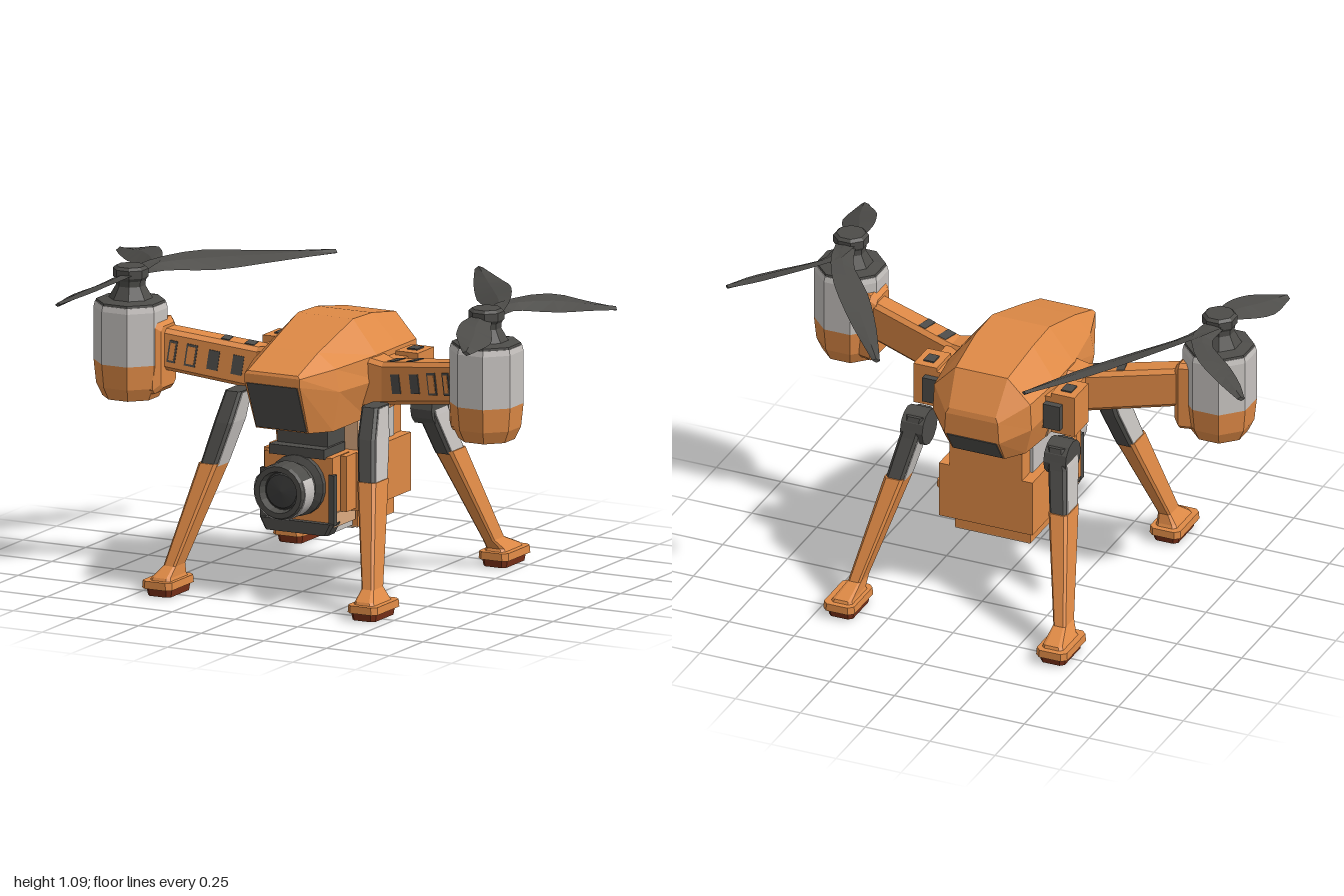
import * as THREE from 'three';

const paint = (name, color) => {
  const m = new THREE.MeshStandardMaterial({ color });
  m.name = name;
  return m;
};
const V = (x, y, z) => new THREE.Vector3(x, y, z);

// Swap two corners of every triangle
function flip(geo) {
  const p = geo.attributes.position;
  for (let i = 0; i < p.count; i += 3) {
    const a = V().fromBufferAttribute(p, i + 1), b = V().fromBufferAttribute(p, i + 2);
    p.setXYZ(i + 1, b.x, b.y, b.z);
    p.setXYZ(i + 2, a.x, a.y, a.z);
  }
  geo.computeVertexNormals();
  return geo;
}

// Faceted normals, with closed solids always facing outward
function facet(src) {
  const geo = src.index ? src.toNonIndexed() : src;
  const p = geo.attributes.position;
  let volume = 0;
  for (let i = 0; i < p.count; i += 3) {
    const [a, b, c] = [0, 1, 2].map(k => V().fromBufferAttribute(p, i + k));
    volume += a.dot(b.cross(c));
  }
  geo.computeVertexNormals();
  return volume < 0 ? flip(geo) : geo;
}

// Skin over cross-sections; the ends are closed by pairing opposite points
function loft(rings) {
  const n = rings[0].length, out = [];
  const quad = (a, b, c, d) => [a, b, c, a, c, d].forEach(v => out.push(v.x, v.y, v.z));
  for (let r = 0; r < rings.length - 1; r++)
    for (let i = 0; i < n; i++) {
      const j = (i + 1) % n;
      quad(rings[r][i], rings[r][j], rings[r + 1][j], rings[r + 1][i]);
    }
  const first = rings[0], last = rings[rings.length - 1];
  for (let i = 0; i < n / 2 - 1; i++) {
    const k = n - 1 - i;
    quad(first[i + 1], first[i], first[k], first[k - 1]);
    quad(last[i], last[i + 1], last[k - 1], last[k]);
  }
  const geo = new THREE.BufferGeometry();
  geo.setAttribute('position', new THREE.Float32BufferAttribute(out, 3));
  return facet(geo);
}

// Chamfered rectangle outline with half sizes a and b
function outline(a, b, c) {
  return [[a - c, b], [a, b - c], [a, c - b], [a - c, -b], [c - a, -b], [-a, c - b], [-a, b - c], [c - a, b]];
}
const flatRing = ([x, y, z, hx, hz]) =>
  outline(hx, hz, Math.min(hx, hz) * 0.3).map(([u, v]) => V(x + u, y, z + v));
const sideRing = ([x, y, z, hy, hz]) =>
  outline(hz, hy, 0.015).map(([u, v]) => V(x, y + v, z + u));

const box = (x0, x1, y0, y1, z0, z1) => facet(new THREE.BoxGeometry(x1 - x0, y1 - y0, z1 - z0)
  .translate((x0 + x1) / 2, (y0 + y1) / 2, (z0 + z1) / 2));
const lathe = (pts, sides) =>
  facet(new THREE.LatheGeometry(pts.map(([r, y]) => new THREE.Vector2(r, y)), sides, Math.PI / sides));

// Propeller blade: rows are x, y, z, half width, rise of one edge
function blade(rows) {
  const path = new THREE.CatmullRomCurve3(rows.map(r => V(r[0], r[1], r[2])));
  const form = new THREE.CatmullRomCurve3(rows.map(r => V(r[3], r[4], 0)));
  const rings = [];
  for (let i = 0; i <= 10; i++) {
    const c = path.getPoint(i / 10), f = form.getPoint(i / 10), t = path.getTangent(i / 10);
    const side = V(-t.z, 0, t.x).normalize().multiplyScalar(f.x).setY(f.y);
    const up = V(0, 0.008, 0);
    rings.push([c.clone().add(side), c.clone().add(up), c.clone().sub(side), c.clone().sub(up)]);
  }
  return loft(rings);
}

export function createModel() {
  const orange = paint('orange shell', 0xdf8a46), dark = paint('dark grey', 0x4d4c49);
  const grey = paint('light grey', 0xc6c2bf), rust = paint('rust rubber', 0x7a3018);
  const glass = paint('lens glass', 0x3c3c3b), tan = paint('pale tan', 0xdcab80);
  const model = new THREE.Group();
  model.name = 'drone';

  const add = (name, geo, mat) => {
    const mesh = new THREE.Mesh(geo, mat);
    mesh.name = name;
    model.add(mesh);
  };
  const pair = (name, geo, mat) => {
    add(name + 'Left', geo, mat);
    add(name + 'Right', flip(geo.clone().scale(-1, 1, 1)), mat);
  };

  // Hull: each section lists half width, y, z for top, upper side, lower side and bottom
  const sections = [
    [[0.1, 0.83, 0.47], [0.11, 0.82, 0.475], [0.11, 0.79, 0.475], [0.105, 0.61, 0.4]],
    [[0.1, 0.885, 0.32], [0.165, 0.83, 0.31], [0.18, 0.75, 0.31], [0.155, 0.605, 0.31]],
    [[0.11, 0.96, 0.08], [0.205, 0.84, 0.08], [0.21, 0.75, 0.08], [0.165, 0.61, 0.08]],
    [[0.11, 0.955, -0.06], [0.205, 0.84, -0.08], [0.21, 0.75, -0.08], [0.165, 0.61, -0.08]],
    [[0.1, 0.92, -0.255], [0.185, 0.83, -0.25], [0.19, 0.73, -0.25], [0.155, 0.615, -0.22]],
    [[0.09, 0.8, -0.335], [0.1, 0.78, -0.34], [0.105, 0.7, -0.34], [0.1, 0.61, -0.28]],
  ];
  add('hull', loft(sections.map(s => [
    ...s.map(([x, y, z]) => V(x, y, z)),
    ...[...s].reverse().map(([x, y, z]) => V(-x, y, z)),
  ])), orange);

  // Sloped dark windows at the nose and tail, pale strips low on the flanks
  const plate = (w, y0, z0, y1, z1, d) => loft([[y0, z0], [y1, z1]].map(([y, z]) =>
    [V(w, y, z), V(w, y, z + d), V(-w, y, z + d), V(-w, y, z)]));
  add('noseWindow', plate(0.1, 0.615, 0.401, 0.787, 0.473, 0.006), dark);
  add('tailWindow', plate(0.095, 0.615, -0.282, 0.698, -0.338, -0.006), dark);
  pair('flankStrip', loft([[0.166, 0.614], [0.183, 0.668]].map(([x, y]) =>
    [V(x, y, 0.08), V(x + 0.005, y, 0.08), V(x + 0.005, y, -0.08), V(x, y, -0.08)])), tan);

  // Arms with slots along the front and top; the outer slots have orange covers
  const armAt = t => V(0.25 + 0.33 * t, 0.75 + 0.05 * t, 0.08 + 0.08 * t);
  pair('arm', loft([
    [0.15, 0.745, 0.06, 0.1, 0.075], [0.25, 0.75, 0.08, 0.077, 0.05],
    [0.58, 0.8, 0.16, 0.075, 0.046], [0.62, 0.8, 0.17, 0.075, 0.046],
  ].map(sideRing)), orange);
  pair('armCollar', loft([
    [0.575, 0.775, 0.175, 0.11, 0.055], [0.595, 0.775, 0.18, 0.13, 0.075], [0.64, 0.775, 0.19, 0.13, 0.075],
  ].map(sideRing)), orange);
  const slot = (t, w, h, d, dy, dz) => {
    const c = armAt(t);
    return facet(new THREE.BoxGeometry(w, h, d).rotateZ(0.15).rotateY(-0.238)
      .translate(c.x, c.y + dy, c.z + dz));
  };
  [0.2, 0.46].forEach(t => pair('frontSlot', slot(t, 0.04, 0.07, 0.008, 0, 0.048), dark));
  [[0.7, 0.04], [0.9, 0.03]].forEach(([t, w]) => {
    pair('outerSlot', slot(t, w, 0.08, 0.008, 0, 0.047), dark);
    pair('slotCover', slot(t, w - 0.012, 0.064, 0.009, 0, 0.048), orange);
  });
  [[0.12, 0.035], [0.38, 0.03]].forEach(([t, w]) =>
    pair('topSlot', slot(t, w, 0.006, 0.06, 0.076, 0), dark));

  // Rear brackets beside the hull
  pair('rearBracket', box(0.17, 0.27, 0.69, 0.82, -0.15, 0.04), orange);
  pair('bracketPlate', box(0.22, 0.31, 0.68, 0.835, -0.15, -0.03), orange);
  pair('bracketEnd', box(0.2, 0.265, 0.705, 0.8, -0.175, -0.15), dark);
  pair('bracketTop', box(0.245, 0.285, 0.834, 0.84, -0.12, -0.07), dark);

  // Motors
  const motor = (name, pts, mat) => pair(name, lathe(pts, 8).translate(0.71, 0, 0.205), mat);
  motor('motorBase', [[0, 0.62], [0.1, 0.62], [0.122, 0.665], [0.131, 0.75], [0, 0.75]], orange);
  motor('motorCan', [[0, 0.75], [0.131, 0.75], [0.131, 0.94], [0.126, 0.96], [0, 0.96]], grey);
  motor('motorCap', [[0, 0.955], [0.125, 0.955], [0.122, 0.968], [0.078, 0.975], [0.052, 1.02],
    [0.054, 1.04], [0.063, 1.052], [0.063, 1.08], [0.052, 1.09], [0, 1.09]], dark);
  motor('motorPlug', [[0, 0.614], [0.045, 0.614], [0.045, 0.625], [0, 0.625]], dark);

  // Three-blade propellers
  pair('outerBlade', blade([[0.71, 1.06, 0.16, 0.035, -0.005], [0.715, 1.065, 0.04, 0.035, -0.012],
    [0.82, 1.06, -0.09, 0.058, -0.022], [0.91, 1.045, -0.165, 0.042, -0.01], [0.99, 1.03, -0.235, 0.015, -0.003]]), dark);
  pair('innerBlade', blade([[0.71, 1.06, 0.16, 0.035, 0.005], [0.67, 1.065, 0.04, 0.04, 0.015],
    [0.565, 1.06, -0.12, 0.06, 0.024], [0.44, 1.05, -0.3, 0.048, 0.012], [0.285, 1.04, -0.525, 0.014, 0.003]]), dark);
  pair('frontBlade', blade([[0.71, 1.06, 0.24, 0.035, 0.005], [0.735, 1.045, 0.33, 0.055, 0.015],
    [0.77, 1.03, 0.41, 0.062, 0.016], [0.815, 1.005, 0.55, 0.014, 0.003]]), dark);

  // Legs: top height, then z at the top, hip, knee, ankle and foot
  [['front', 0.69, 0.215, 0.255, 0.315, 0.465, 0.485], ['rear', 0.66, -0.18, -0.19, -0.255, -0.43, -0.485]]
    .forEach(([n, yTop, top, hip, knee, ankle, foot]) => {
      const upper = (ax, az) => loft([
        [0.272, yTop + az, top, 0.034 + ax, 0.045 + az], [0.286, 0.59, hip, 0.037 + ax, 0.058 + az],
        [0.316, 0.44, knee, 0.035 + ax, 0.052 + az],
      ].map(flatRing));
      pair(n + 'UpperLeg', upper(0, 0), grey);
      pair(n + 'LegInlay', upper(-0.002, 0.005), dark);
      pair(n + 'LowerLeg', loft([
        [0.316, 0.45, knee, 0.037, 0.058], [0.395, 0.1, ankle, 0.024, 0.042],
        [0.405, 0.065, foot, 0.036, 0.07], [0.408, 0.045, foot, 0.045, 0.08],
      ].map(flatRing)), orange);
      pair(n + 'Foot', loft([[0.41, 0.028, foot, 0.06, 0.098], [0.41, 0.055, foot, 0.058, 0.096]].map(flatRing)), orange);
      pair(n + 'FootPad', loft([[0.408, 0, foot, 0.046, 0.08], [0.408, 0.03, foot, 0.05, 0.085]].map(flatRing)), rust);
    });
  pair('rearHip', facet(new THREE.CylinderGeometry(0.066, 0.066, 0.085, 12)
    .rotateZ(Math.PI / 2).translate(0.276, 0.612, -0.18)), dark);

  // Hanging mount and equipment box
  add('mount', box(-0.15, 0.15, 0.49, 0.62, -0.15, 0.12), grey);
  add('rearMount', box(-0.14, 0.14, 0.49, 0.63, -0.22, -0.14), orange);
  add('frontMount', box(-0.1, 0.1, 0.49, 0.62, 0.11, 0.25), dark);
  pair('mountCheek', box(0.1, 0.152, 0.5, 0.61, 0.115, 0.126), tan);
  add('equipmentBox', box(-0.18, 0.18, 0.29, 0.5, -0.22, 0.16), orange);
  add('lowerBox', box(-0.145, 0.145, 0.222, 0.3, -0.16, 0.11), orange);
  add('boxUnderside', box(-0.144, 0.144, 0.218, 0.224, -0.159, 0.11), tan);
  add('bottomPanel', box(-0.125, 0.125, 0.214, 0.222, -0.14, 0.11), grey);

  // Camera housing with corner trim
  add('cameraBody', box(-0.135, 0.135, 0.25, 0.5, 0.1, 0.28), orange);
  pair('cameraSkirt', box(0.13, 0.142, 0.25, 0.3, 0.12, 0.28), tan);
  add('cameraFloor', box(-0.125, 0.125, 0.225, 0.25, 0.11, 0.24), grey);
  add('cameraChin', loft([[0, 0.222, 0.268, 0.125, 0.035], [0, 0.265, 0.268, 0.148, 0.035]].map(flatRing)), dark);
  add('cameraTop', box(-0.11, 0.11, 0.495, 0.53, 0.14, 0.295), dark);
  pair('cameraTrim', box(0.125, 0.148, 0.26, 0.44, 0.268, 0.29), dark);
  pair('cameraPost', box(0.14, 0.165, 0.3, 0.5, 0.15, 0.23), orange);

  // Lens
  const lens = (name, pts, mat) => add(name, lathe(pts, 20).rotateX(Math.PI / 2).translate(0, 0.392, 0), mat);
  lens('lensMount', [[0, 0.27], [0.11, 0.27], [0.11, 0.3], [0.085, 0.31], [0, 0.31]], dark);
  lens('lensBarrel', [[0, 0.3], [0.085, 0.3], [0.085, 0.34], [0.1, 0.35], [0.1, 0.42], [0.094, 0.432],
    [0.075, 0.432], [0.068, 0.4], [0, 0.4]], dark);
  lens('lensGlass', [[0, 0.398], [0.067, 0.398], [0.06, 0.406], [0, 0.412]], glass);
  // Light panels on both flanks of the barrel
  pair('barrelPanel', facet(new THREE.ExtrudeGeometry(new THREE.Shape()
    .absarc(0, 0, 0.103, -1.5, 0.5, false).absarc(0, 0, 0.098, 0.5, -1.5, true),
  { depth: 0.07, bevelEnabled: false, curveSegments: 10 }).translate(0, 0.392, 0.35)), grey);

  return model;
}
